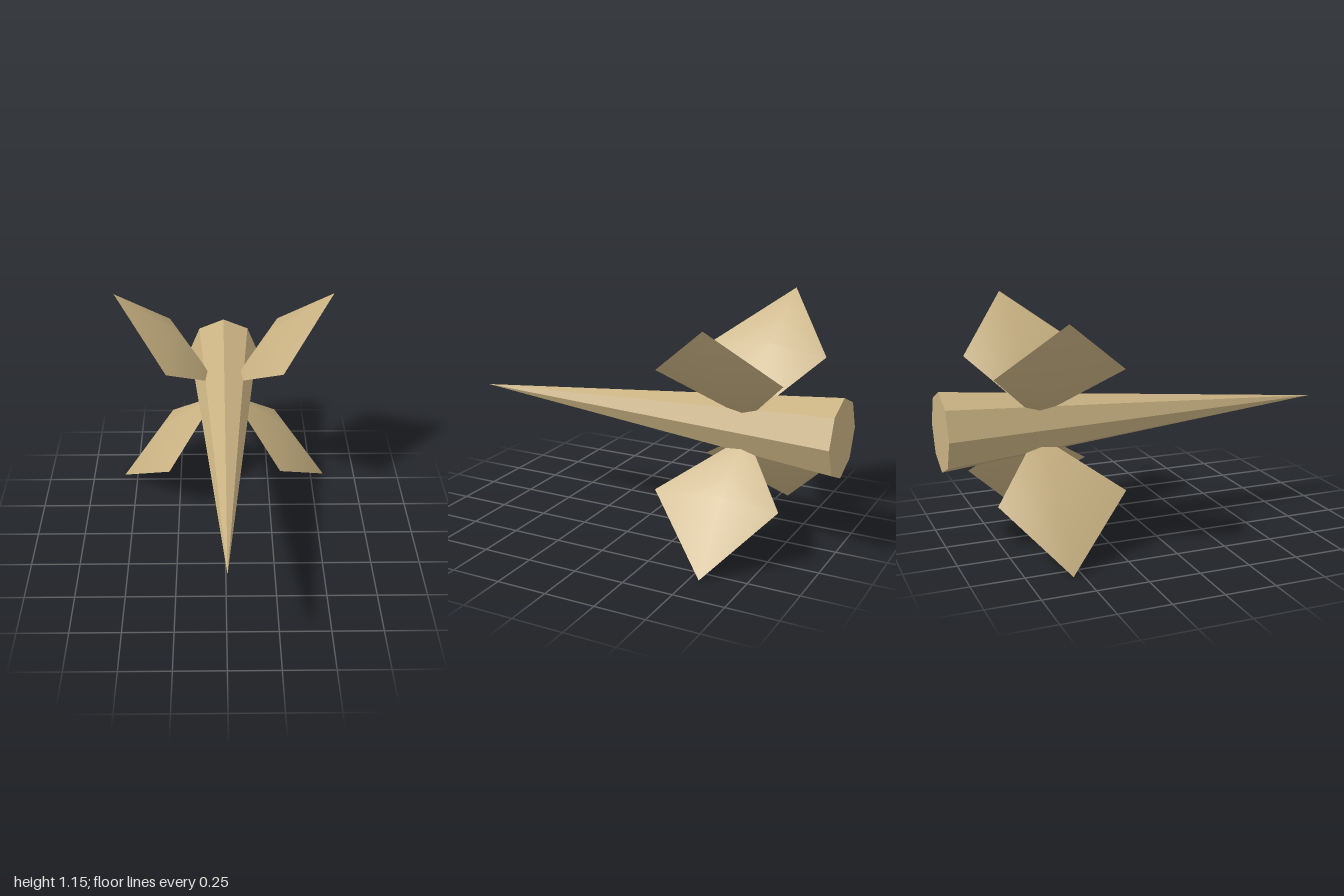
import * as THREE from 'three';

const AXIS_Y = 0.577;

// Diamond fin lying in the radial plane: local x is outward, y is thickness
function finGeometry() {
  const zMid = -0.545, rMid = 0.42, half = 0.071;
  const lead = [rMid, 0, -0.18], tip = [0.811, 0, zMid];
  const trail = [rMid, 0, -0.81], root = [0.06, 0, zMid];
  const rim = [lead, tip, trail, root];
  const positions = [], index = [];
  // Each side has its own vertices, so it is smooth inside and sharp at the rim
  for (const side of [1, -1]) {
    const base = positions.length / 3;
    for (const p of [...rim, [rMid, half * side, zMid]]) positions.push(...p);
    for (let i = 0; i < 4; i++) {
      const a = base + i, b = base + (i + 1) % 4, peak = base + 4;
      index.push(...(side > 0 ? [peak, a, b] : [peak, b, a]));
    }
  }
  const geometry = new THREE.BufferGeometry();
  geometry.setAttribute('position', new THREE.Float32BufferAttribute(positions, 3));
  geometry.setIndex(index);
  geometry.computeVertexNormals();
  return geometry;
}

export function createModel() {
  const model = new THREE.Group();
  model.name = 'dart';
  const tan = new THREE.MeshStandardMaterial({ color: 0xc8b182 });
  tan.name = 'tan';

  // Eight-sided pointed body with a flat rear cap
  const bodyGeometry = new THREE.ConeGeometry(0.196, 2, 8).toNonIndexed();
  bodyGeometry.computeVertexNormals();
  bodyGeometry.rotateX(Math.PI / 2);
  const body = new THREE.Mesh(bodyGeometry, tan);
  body.name = 'body';
  body.position.y = AXIS_Y;
  model.add(body);

  // Four fins on the diagonals
  const shape = finGeometry();
  ['upperLeftFin', 'upperRightFin', 'lowerRightFin', 'lowerLeftFin'].forEach((name, i) => {
    const fin = new THREE.Mesh(shape, tan);
    fin.name = name;
    fin.position.y = AXIS_Y;
    fin.rotation.z = Math.PI / 4 + i * Math.PI / 2;
    model.add(fin);
  });
  return model;
}
